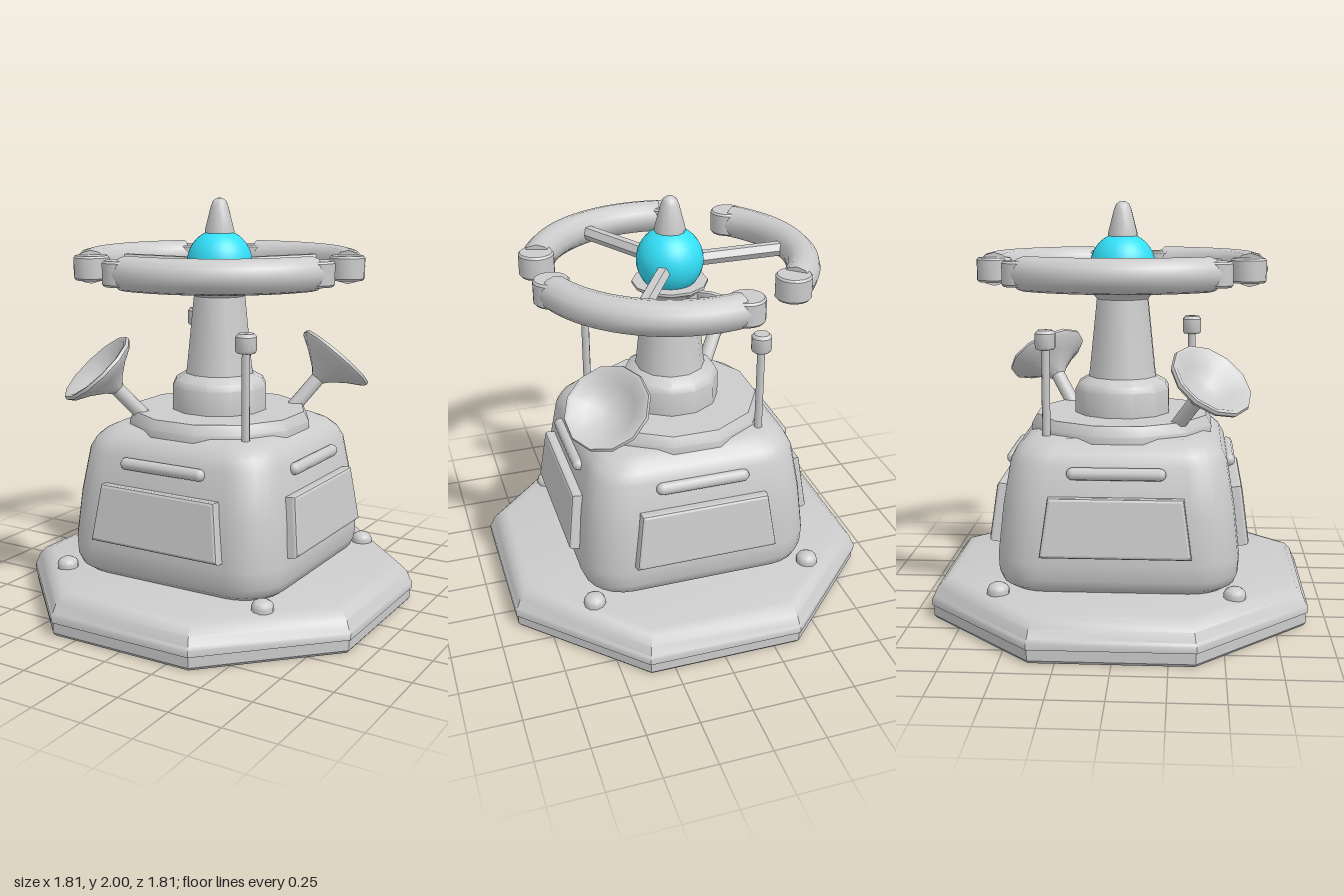
import * as THREE from 'three';
import { toCreasedNormals } from 'three/addons/utils/BufferGeometryUtils.js';

const grey = new THREE.MeshStandardMaterial({ color: 0xcccccc });
const greyDouble = new THREE.MeshStandardMaterial({ color: 0xcccccc, side: THREE.DoubleSide });
const cyan = new THREE.MeshStandardMaterial({ color: 0x33e0fa });

function add(parent, name, geometry, x = 0, y = 0, z = 0, material = grey) {
  const mesh = new THREE.Mesh(geometry, material);
  mesh.name = name;
  mesh.position.set(x, y, z);
  parent.add(mesh);
  return mesh;
}

// Turned part with n sides; flats face the axes and radii are given to the flats
function turned(profile, n, crease = 0.65) {
  const k = 1 / Math.cos(Math.PI / n);
  const pts = profile.map(([r, y]) => new THREE.Vector2(r * k, y));
  return toCreasedNormals(new THREE.LatheGeometry(pts, n, Math.PI / n), crease);
}

// Rounded-square loft through [height, half width] levels
function roundedLoft(levels, cornerRatio, steps = 6) {
  const pos = [], index = [], n = 4 * (steps + 1);
  for (const [y, h] of levels) {
    const r = h * cornerRatio;
    for (let c = 0; c < 4; c++) {
      const mid = Math.PI / 4 + c * Math.PI / 2;
      for (let s = 0; s <= steps; s++) {
        const a = (c + s / steps) * Math.PI / 2;
        pos.push(Math.sign(Math.sin(mid)) * (h - r) + r * Math.sin(a), y,
          Math.sign(Math.cos(mid)) * (h - r) + r * Math.cos(a));
      }
    }
  }
  for (let l = 0; l < levels.length - 1; l++) {
    for (let i = 0; i < n; i++) {
      const a = l * n + i, b = l * n + (i + 1) % n;
      index.push(a, b, b + n, a, b + n, a + n);
    }
  }
  const g = new THREE.BufferGeometry();
  g.setAttribute('position', new THREE.Float32BufferAttribute(pos, 3));
  g.setIndex(index);
  return toCreasedNormals(g, 0.7);
}

// Sloped trapezoid hatch with a bevelled edge
function panelGeometry() {
  const b = 0.015;
  const s = new THREE.Shape();
  s.moveTo(-0.35 + b, -0.14 + b);
  s.lineTo(0.35 - b, -0.14 + b);
  s.lineTo(0.315 - b, 0.14 - b);
  s.lineTo(-0.315 + b, 0.14 - b);
  s.closePath();
  return new THREE.ExtrudeGeometry(s, {
    depth: 0.05, bevelEnabled: true, bevelSize: b, bevelThickness: b, bevelSegments: 2,
  });
}

// One curved ring section with its spoke and end clamps, centred on +x
function ringSection() {
  const section = new THREE.Group();
  section.name = 'ringSection';
  const R = 0.625, r = 0.08, half = THREE.MathUtils.degToRad(42);
  const arc = new THREE.TorusGeometry(R, r, 12, 20, half * 2);
  arc.rotateZ(-half);
  arc.rotateX(Math.PI / 2);
  add(section, 'ringTube', arc);
  const clamp = turned([[0, -0.058], [0.075, -0.058], [0.083, -0.048], [0.083, 0.048], [0.075, 0.058], [0, 0.058]], 16);
  for (const side of [-1, 1]) {
    const a = side * half, c = side * (half + 0.045);
    const end = add(section, 'ringTubeEnd', new THREE.CircleGeometry(r, 12),
      R * Math.cos(a), 0, R * Math.sin(a), greyDouble);
    end.rotation.y = -a;
    add(section, 'ringClamp', clamp, R * Math.cos(c), 0, R * Math.sin(c));
  }
  const spoke = new THREE.CylinderGeometry(0.036, 0.036, 0.48, 6);
  spoke.rotateZ(Math.PI / 2);
  add(section, 'spoke', toCreasedNormals(spoke, 0.5), 0.34, 0, 0);
  return section;
}

// Dish on a slanted stem, leaning outward along a diagonal
function dish() {
  const g = new THREE.Group();
  g.name = 'dish';
  const bowl = [[0.035, -0.14], [0.06, -0.11], [0.13, -0.055], [0.195, -0.015], [0.203, 0.0], [0.198, 0.015],
    [0.178, 0.012], [0.12, -0.035], [0.06, -0.065], [0, -0.075]];
  add(g, 'dishBowl', turned(bowl, 12), 0, 0, 0, greyDouble);
  add(g, 'dishStem', new THREE.CylinderGeometry(0.036, 0.036, 0.22, 10), 0, -0.22, 0);
  g.position.set(-0.43, 1.19, 0.43);
  g.quaternion.setFromUnitVectors(new THREE.Vector3(0, 1, 0), new THREE.Vector3(-0.48, 0.74, 0.48).normalize());
  return g;
}

export function createModel() {
  const model = new THREE.Group();
  model.name = 'beaconStation';

  // Octagonal base and main housing
  add(model, 'base', turned([[0, 0], [0.885, 0], [0.897, 0.015], [0.897, 0.065], [0.906, 0.068], [0.906, 0.1],
    [0.897, 0.112], [0.88, 0.155], [0.85, 0.187], [0.81, 0.2], [0, 0.2]], 8));
  add(model, 'housing', roundedLoft([[0.2, 0.001], [0.2, 0.52], [0.225, 0.553], [0.27, 0.57], [0.35, 0.574],
    [0.58, 0.55], [0.8, 0.513], [0.85, 0.487], [0.885, 0.45], [0.91, 0.4], [0.91, 0.001]], 0.36));

  // Hatch, light bar and corner bolt on each of the four sides
  const panel = panelGeometry();
  const bar = new THREE.CapsuleGeometry(0.03, 0.4, 4, 10);
  bar.rotateZ(Math.PI / 2);
  const bolt = turned([[0.05, 0], [0.05, 0.025], [0.042, 0.04], [0.022, 0.052], [0, 0.054]], 10);
  for (let i = 0; i < 4; i++) {
    const side = new THREE.Group();
    side.name = 'housingSide';
    side.rotation.y = i * Math.PI / 2;
    add(side, 'panel', panel, 0, 0.522, 0.54).rotation.x = -0.13;
    add(side, 'lightBar', bar, 0, 0.77, 0.525);
    add(side, 'cornerBolt', bolt, 0.55, 0.197, 0.55);
    model.add(side);
  }

  // Deck plate and column
  add(model, 'deckPlate', turned([[0.44, 0.88], [0.44, 0.925], [0.415, 0.972], [0, 0.972]], 12));
  add(model, 'column', turned([[0.23, 0.96], [0.23, 1.09], [0.215, 1.12], [0.165, 1.15], [0.16, 1.18], [0.125, 1.53],
    [0.135, 1.545], [0.175, 1.572], [0.175, 1.585], [0, 1.585]], 12));

  // Glowing orb and finial
  add(model, 'orb', new THREE.SphereGeometry(0.16, 28, 20), 0, 1.69, 0, cyan);
  add(model, 'finial', turned([[0.071, 1.82], [0.071, 1.845], [0.042, 1.96], [0.032, 1.985], [0.015, 1.998], [0, 2]], 12));

  // Three ring sections around the orb
  for (let i = 0; i < 3; i++) {
    const section = ringSection();
    section.position.y = 1.678;
    section.rotation.y = Math.PI + i * Math.PI * 2 / 3;
    model.add(section);
  }

  // Dishes and antennas in opposite corners
  const head = turned([[0, 1.32], [0.04, 1.32], [0.047, 1.33], [0.047, 1.395], [0.035, 1.41], [0, 1.412]], 10);
  for (let i = 0; i < 2; i++) {
    const pair = new THREE.Group();
    pair.name = 'dishAndAntenna';
    pair.rotation.y = i * Math.PI;
    pair.add(dish());
    add(pair, 'antennaRod', new THREE.CylinderGeometry(0.02, 0.02, 0.5, 8), 0.342, 1.09, 0.342);
    add(pair, 'antennaHead', head, 0.342, 0, 0.342);
    model.add(pair);
  }
  return model;
}
